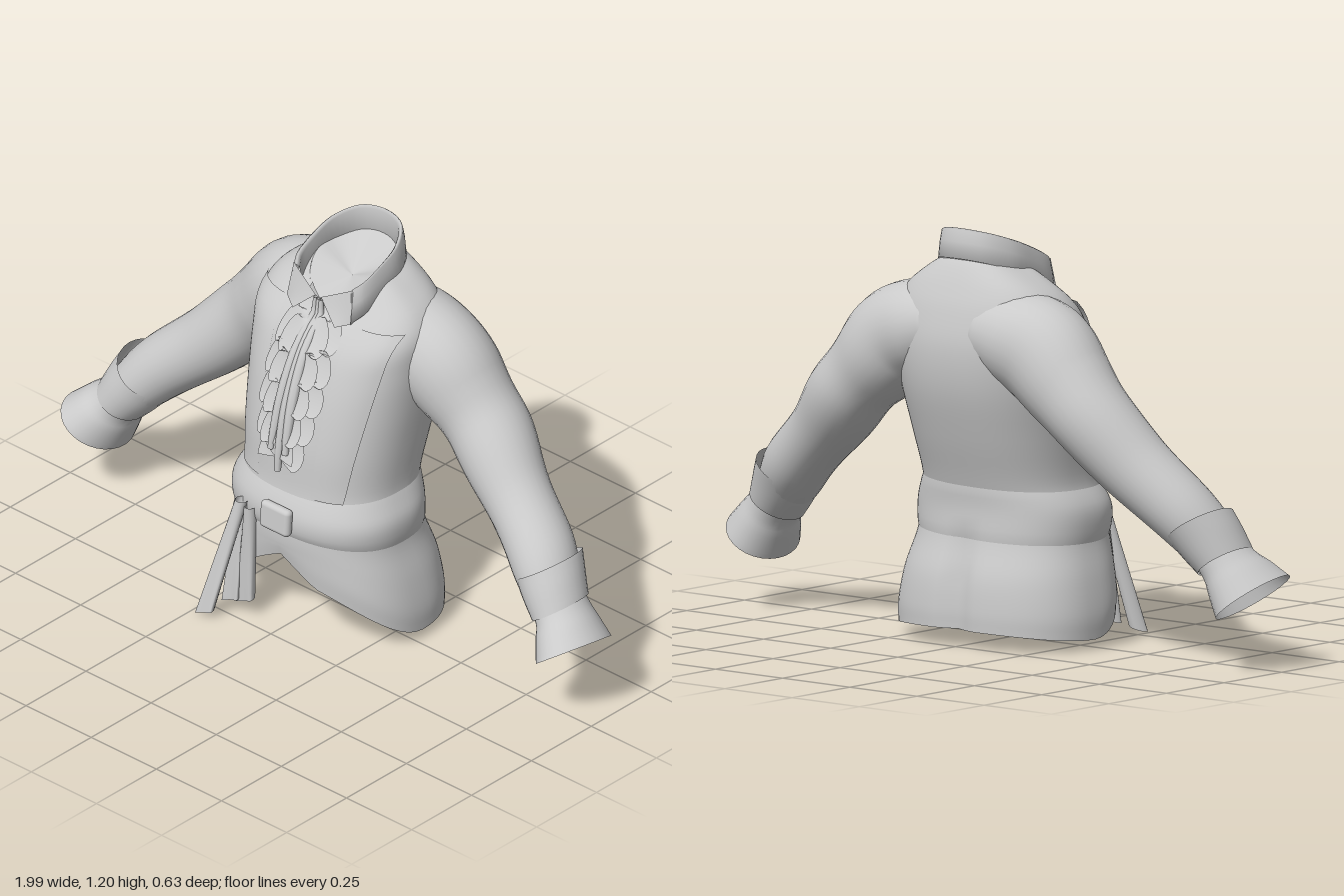
import * as THREE from 'three';
import { RoundedBoxGeometry } from 'three/addons/geometries/RoundedBoxGeometry.js';

const cloth = new THREE.MeshStandardMaterial({ color: 0xcacaca, side: THREE.DoubleSide });
cloth.name = 'grey cloth';

// Smooth surface from fn(u, v) -> [x, y, z]; wrap joins the last u column to the first
function grid(nu, nv, fn, wrap = false) {
  const pos = [], idx = [], cols = wrap ? nu : nu + 1;
  for (let j = 0; j <= nv; j++)
    for (let i = 0; i < cols; i++) pos.push(...fn(i / nu, j / nv));
  for (let j = 0; j < nv; j++)
    for (let i = 0; i < nu; i++) {
      const a = j * cols + i, b = j * cols + (i + 1) % cols;
      idx.push(a, b, b + cols, a, b + cols, a + cols);
    }
  const g = new THREE.BufferGeometry();
  g.setAttribute('position', new THREE.Float32BufferAttribute(pos, 3));
  g.setIndex(idx);
  g.computeVertexNormals();
  return g;
}

// Torso rings: half width, side y, front y, front z, back y, back z
const RINGS = [
  [.33, .028, .19, .21, .05, -.262], [.33, .1, .235, .215, .11, -.262],
  [.312, .2, .275, .218, .2, -.25], [.285, .3, .325, .22, .3, -.217],
  [.275, .39, .39, .215, .39, -.2], [.255, .47, .47, .2, .47, -.22],
  [.262, .6, .6, .19, .6, -.265], [.275, .74, .73, .165, .74, -.305],
  [.285, .86, .83, .135, .86, -.315], [.285, .95, .9, .105, .96, -.297],
  [.25, 1.01, .95, .07, 1.03, -.272], [.18, 1.06, .98, .04, 1.085, -.245],
  [.12, 1.09, 1.0, .02, 1.12, -.22],
];
const curve = (o) => new THREE.CatmullRomCurve3(
  RINGS.map((r) => new THREE.Vector3(r[o], r[o + 1], r[o + 2])), false, 'catmullrom');
const ringA = curve(0), ringB = curve(3);
const POW = 2 / 2.35;
const bend = (v) => Math.sign(v) * Math.abs(v) ** POW;

function torsoPoint(angle, t, grow = 0) {
  const A = ringA.getPoint(t), B = ringB.getPoint(t);
  const c = Math.cos(angle), k = Math.abs(c) ** 1.5;
  const mid = (B.x + B.z) / 2, half = (B.x - B.z) / 2 + grow;
  const x = (A.x + grow) * bend(Math.sin(angle));
  const y = THREE.MathUtils.lerp(A.y, c > 0 ? A.z : B.y, k);
  // notch at the front hem and crease down the centre back of the skirt
  const notch = c > 0 ? .06 * Math.max(0, 1 - Math.abs(x) / .12) * Math.max(0, 1 - t * 5) : 0;
  const dent = c < 0 && y < .36 ? .025 * Math.exp(-((x / .04) ** 2)) * Math.min(1, (.36 - y) * 6) : 0;
  return [x, y + notch, mid + half * bend(c) + dent];
}

// Depth of the torso front at x, y
function frontZ(x, y) {
  let lo = 0, hi = 1, p;
  for (let i = 0; i < 18; i++) {
    const t = (lo + hi) / 2;
    const s = Math.min(.98, Math.abs(x) / ringA.getPoint(t).x) ** (1 / POW);
    p = torsoPoint(Math.asin(s), t);
    if (p[1] < y) lo = t; else hi = t;
  }
  return p[2];
}

// Tube along rows of [x, y, z, radius in the front plane, radius in depth]; tilt lowers the back of the far end
function sleeveTube(rows, side, steps, wave = 0, tilt = 0) {
  const path = new THREE.CatmullRomCurve3(rows.map((r) => new THREE.Vector3(r[0], r[1], r[2])), false, 'catmullrom');
  const radii = new THREE.CatmullRomCurve3(rows.map((r) => new THREE.Vector3(r[3], r[4], 0)), false, 'catmullrom');
  return grid(28, steps, (u, v) => {
    const p = path.getPoint(v), d = path.getTangent(v), r = radii.getPoint(v);
    const l = Math.hypot(d.x, d.y), b = u * Math.PI * 2 * side;
    const puff = 1 + wave * Math.sin(v * 26) * Math.min(1, v * v * 4);
    const n = Math.cos(b) * r.x * puff;
    return [side * (p.x - d.y / l * n), p.y + d.x / l * n + tilt * v * Math.sin(b), p.z + Math.sin(b) * r.y * puff];
  }, true);
}

const SLEEVE = [
  [.09, .905, -.165, .12, .138], [.18, .885, -.165, .142, .147], [.27, .85, -.165, .15, .142],
  [.36, .77, -.172, .135, .132], [.45, .685, -.172, .117, .12], [.57, .565, -.14, .107, .11],
  [.715, .44, -.095, .094, .102], [.8, .345, -.06, .08, .093], [.83, .31, -.05, .074, .088],
];
const TURNBACK = [[.765, .408, -.08, .098, .108], [.797, .36, -.065, .092, .102], [.835, .305, -.05, .08, .094]];
const FLARE = [[.815, .33, -.055, .07, .084], [.85, .29, -.045, .076, .092], [.875, .258, -.035, .088, .108], [.912, .208, -.022, .103, .13]];

// Folded collar, swept round the neck as a closed band, open at the throat
function collarGeometry() {
  const half = [[.118, .045], [.138, .01], [.144, -.06], [.135, -.15], [.085, -.222]];
  const pts = [...half.map(([x, z]) => [-x, z]), [0, -.246], ...half.reverse()];
  const path = new THREE.CatmullRomCurve3(pts.map(([x, z]) => new THREE.Vector3(x, 0, z)));
  const profile = [[1, 0], [.97, .55], [.93, .95], [.89, 1], [.84, .9], [.82, -.1]];
  return grid(profile.length, 48, (u, v) => {
    const p = path.getPoint(v);
    const [s, h] = profile[Math.round(u * profile.length) % profile.length];
    const back = THREE.MathUtils.clamp((.045 - p.z) / .29, 0, 1);
    const bottom = .985 + .125 * Math.pow(back, .75), top = 1.085 + .11 * Math.pow(back, .8);
    return [p.x * s, bottom + (top - bottom) * h, -.1 + (p.z + .1) * s];
  }, true);
}

export function createModel() {
  const model = new THREE.Group();
  const add = (name, geo, parent = model) => {
    const m = new THREE.Mesh(geo, cloth);
    m.name = name;
    parent.add(m);
    return m;
  };

  add('coatBody', grid(72, 60, (u, v) => torsoPoint(u * Math.PI * 2, v), true));

  // Cloth closing the neck, dished towards the middle
  add('neckLining', grid(48, 6, (u, v) => {
    const [x, y, z] = torsoPoint(u * Math.PI * 2, 1), k = 1 - v;
    return [x * k, y * k + 1.04 * v, z * k - .09 * v];
  }, true));

  // Waist sash with a soft swell
  add('sash', grid(72, 10, (u, v) => {
    const a = u * Math.PI * 2;
    return torsoPoint(a, .255 + .15 * v + .008 * Math.sin(a), .013 * Math.sin(v * Math.PI) ** .7);
  }, true));
  const buckle = add('buckle', new RoundedBoxGeometry(.11, .085, .03, 4, .014));
  buckle.position.set(.01, .385, .238);
  buckle.rotation.x = -.08;
  const knot = add('sashKnot', new RoundedBoxGeometry(.07, .065, .04, 3, .015));
  knot.position.set(-.24, .375, .06);
  knot.rotation.y = -.9;

  // Hanging sash ends: start and end points, width, thickness
  const tails = [
    [[-.135, .38, .225], [-.205, .012, .3], .062, .018],
    [[-.15, .36, .21], [-.165, .04, .235], .06, .014],
    [[-.105, .37, .22], [-.122, .05, .22], .06, .02],
  ];
  tails.forEach(([a, b, w, d], i) => add('sashTail' + (i + 1), grid(16, 12, (u, v) => {
    const c = u * Math.PI * 2, k = 1 - v, width = w * (.6 + .4 * k) / 2;
    return [
      a[0] + (b[0] - a[0]) * k + Math.cos(c) * width,
      a[1] + (b[1] - a[1]) * k + .012 * Math.cos(c) * k,
      a[2] + (b[2] - a[2]) * k + Math.sin(c) * d + .008 * Math.cos(2 * c) * k,
    ];
  }, true)));

  add('collar', collarGeometry());

  for (const side of [1, -1]) {
    const arm = new THREE.Group();
    arm.name = side > 0 ? 'leftArm' : 'rightArm';
    model.add(arm);
    add('sleeve', sleeveTube(SLEEVE, side, 56, side > 0 ? .045 : .012), arm);
    add('turnedCuff', sleeveTube(TURNBACK, side, 8), arm);
    add('flaredCuff', sleeveTube(FLARE, side, 12, 0, .02 * side * side), arm);

    // Coat front with a squared lapel whose slanting outer edge stands up
    add('lapel', grid(10, 24, (u, v) => {
      const k = side > 0 ? u : 1 - u, y = .465 + .515 * v;
      const x = THREE.MathUtils.lerp(.1 + .03 * v, .19 + .072 * v, k);
      return [side * x, y, frontZ(x, y) + .003 + .013 * k * (.4 + .6 * v)];
    }));

    // Shirt collar point turned down over the throat
    add('collarPoint', grid(4, 5, (u, v) => {
      const k = side > 0 ? u : 1 - u;
      const x = THREE.MathUtils.lerp(.08 - .07 * v, .122 - .008 * v, k);
      const y = THREE.MathUtils.lerp(.972 + .063 * v, .99 + .1 * v, k);
      return [side * x, y, .072 - .022 * k - .02 * v];
    }));

    // Two layers of zigzag ruffle
    for (const layer of [0, 1]) {
      add('ruffle', grid(8, 72, (u, v) => {
        const k = side > 0 ? u : 1 - u;
        const y = .575 + .44 * v + layer * .01;
        const phase = v * 32 + layer * 1.5 + (side > 0 ? 0 : 1.2);
        const reach = (.035 + .06 * Math.sin(Math.PI * (.22 + .66 * (1 - v)))) * (1 - .35 * layer);
        const x = .004 + k * (reach + .018 * Math.sin(phase));
        const z = frontZ(x, y) + .01 + .012 * layer + .018 * (1 - v) + .014 * k * Math.cos(phase);
        return [side * x, y - .025 * k * Math.sin(phase + 1), z];
      }));
    }
  }

  // Long narrow folds down the middle of the jabot
  [[-.022, .6], [.008, .54], [.032, .6]].forEach(([x0, y0], i) => add('jabotFold' + (i + 1), grid(8, 20, (u, v) => {
    const c = u * Math.PI * 2, y = y0 + (1.03 - y0) * v, x = x0 * (1 - .6 * v);
    const r = .004 + .013 * Math.sin(Math.PI * Math.min(1, .15 + .8 * v));
    const z = frontZ(x, Math.min(y, .98)) + .014 + .022 * (1 - v);
    return [x + Math.cos(c) * r, y, z + Math.sin(c) * r];
  }, true)));

  return model;
}
